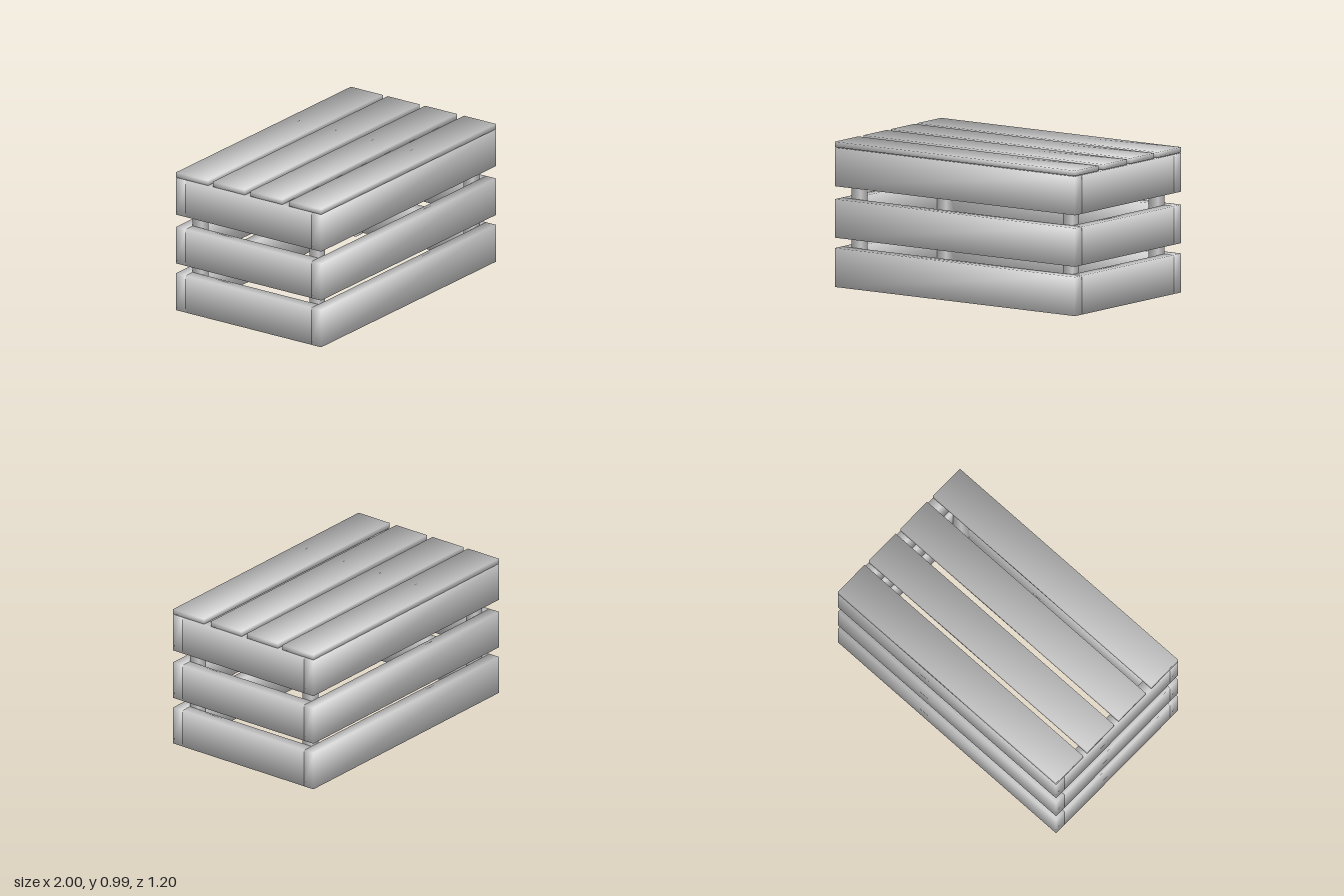
import * as THREE from 'three';

const material = new THREE.MeshStandardMaterial({ color: 0xcccccc });

// Box given by its min and max corners, softly shaded: each corner normal points
// diagonally outward, except along the board's own axis when it is left unrounded.
function board(name, min, max, round = [1, 1, 1]) {
  const size = max.map((v, i) => v - min[i]);
  const geometry = new THREE.BoxGeometry(...size);
  const position = geometry.attributes.position;
  const normal = geometry.attributes.normal;
  const n = new THREE.Vector3();
  for (let i = 0; i < position.count; i++) {
    n.set(
      Math.sign(position.getX(i)) * round[0],
      Math.sign(position.getY(i)) * round[1],
      Math.sign(position.getZ(i)) * round[2]
    ).normalize();
    normal.setXYZ(i, n.x, n.y, n.z);
  }
  const mesh = new THREE.Mesh(geometry, material);
  mesh.name = name;
  mesh.position.set(...max.map((v, i) => (v + min[i]) / 2));
  return mesh;
}

// Two numbers mirrored to the chosen side, in ascending order
const span = (side, inner, outer) => (side > 0 ? [inner, outer] : [-outer, -inner]);

export function createModel() {
  const crate = new THREE.Group();
  crate.name = 'slattedCrate';

  // Three rows of wall slats
  for (const [y0, y1] of [[0.005, 0.27], [0.34, 0.602], [0.69, 0.952]]) {
    for (const side of [1, -1]) {
      const [z0, z1] = span(side, 0.52, 0.6);
      crate.add(board(side > 0 ? 'frontSlat' : 'backSlat', [-1, y0, z0], [1, y1, z1]));

      // End slats fit between the long ones
      const [x0, x1] = span(side, 0.92, 1);
      crate.add(board(side > 0 ? 'leftSlat' : 'rightSlat', [x0, y0, -0.52], [x1, y1, 0.52], [1, 1, 0]));
    }
  }

  // Corner posts inside the walls
  for (const sx of [1, -1]) {
    for (const sz of [1, -1]) {
      const [x0, x1] = span(sx, 0.843, 0.92);
      const [z0, z1] = span(sz, 0.445, 0.52);
      crate.add(board('cornerPost', [x0, 0, z0], [x1, 0.956, z1], [1, 0, 1]));
    }
  }

  // Top slats
  for (const [z0, z1] of [[0.336, 0.6], [0.014, 0.278], [-0.296, -0.032], [-0.6, -0.336]]) {
    crate.add(board('topSlat', [-1, 0.956, z0], [1, 0.993, z1]));
  }

  return crate;
}
